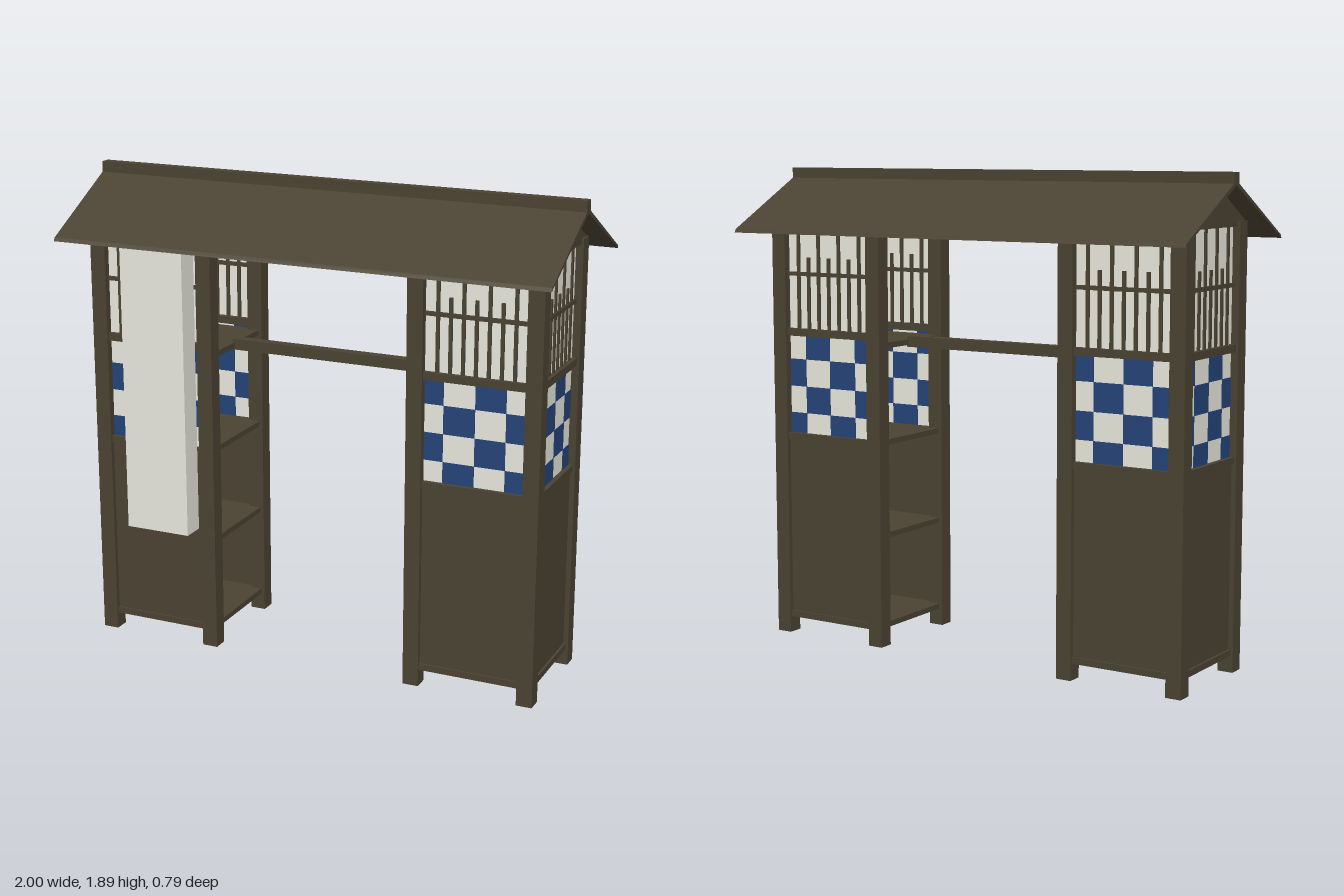
import * as THREE from 'three';

const wood = new THREE.MeshStandardMaterial({ color: 0x4a4232 });
wood.name = 'darkWood';
const paper = new THREE.MeshStandardMaterial({ color: 0xe8e8de });
paper.name = 'whitePaper';
const blue = new THREE.MeshStandardMaterial({ color: 0x244377 });
blue.name = 'checkBlue';

// Box given by its extents on each axis
function block(parent, name, material, [x0, x1], [y0, y1], [z0, z1]) {
  const mesh = new THREE.Mesh(new THREE.BoxGeometry(x1 - x0, y1 - y0, z1 - z0), material);
  mesh.position.set((x0 + x1) / 2, (y0 + y1) / 2, (z0 + z1) / 2);
  mesh.name = name;
  parent.add(mesh);
  return mesh;
}

// One wall between two posts, facing +z; flip mirrors the checks
function createWall(name, width, flip) {
  const wall = new THREE.Group();
  wall.name = name;
  const h = width / 2;
  const span = [-h, h];

  // Boarded lower part and paper upper part
  block(wall, 'lowerPanel', wood, span, [0.08, 0.82], [-0.012, 0.012]);
  block(wall, 'paperSheet', paper, span, [0.82, 1.7], [-0.002, 0.002]);

  // Horizontal rails
  for (const [y0, y1] of [[0.065, 0.09], [0.805, 0.83], [1.225, 1.255], [1.69, 1.72]]) {
    block(wall, 'rail', wood, span, [y0, y1], [-0.022, 0.022]);
  }
  block(wall, 'latticeCrossbar', wood, span, [1.466, 1.482], [-0.011, 0.011]);

  // Alternating long and short lattice bars
  for (let i = 0; i < 7; i++) {
    const x = (i - 3) * width / 8;
    const top = i % 2 ? 1.54 : 1.69;
    block(wall, 'latticeBar', wood, [x - 0.007, x + 0.007], [1.25, top], [-0.009, 0.009]);
  }

  // Checkered band
  const columns = [0, 0.19, 0.5, 0.8, 1];
  const rows = [1.225, 1.13, 1.02, 0.912, 0.83];
  for (let r = 0; r < 4; r++) {
    for (let c = 0; c < 4; c++) {
      if ((r + c) % 2) continue;
      const a = (columns[c] - 0.5) * width;
      const b = (columns[c + 1] - 0.5) * width;
      block(wall, 'blueCheck', blue, flip ? [-b, -a] : [a, b], [rows[r + 1], rows[r]], [-0.004, 0.004]);
    }
  }
  return wall;
}

// Tower on the +x side, open toward the middle
function createTower(name) {
  const tower = new THREE.Group();
  tower.name = name;
  const cx = 0.6675;

  for (const x of [0.405, 0.867]) {
    for (const z of [-0.245, 0.183]) {
      block(tower, 'post', wood, [x, x + 0.063], [0, 1.71], [z, z + 0.062]);
    }
  }

  const front = createWall('frontWall', 0.4, false);
  front.position.set(cx, 0, 0.214);
  const back = createWall('backWall', 0.4, true);
  back.position.set(cx, 0, -0.214);
  back.rotation.y = Math.PI;
  const side = createWall('outerWall', 0.367, false);
  side.position.set(0.8985, 0, 0);
  side.rotation.y = Math.PI / 2;
  tower.add(front, back, side);

  // Shelves and the top rail of the open side
  for (const y of [0.09, 0.455, 0.83, 1.215]) {
    block(tower, 'shelf', wood, [0.42, 0.89], [y - 0.022, y], [-0.205, 0.205]);
  }
  block(tower, 'innerTopRail', wood, [0.415, 0.459], [1.69, 1.72], [-0.185, 0.185]);

  // Gable board under the roof
  const shape = new THREE.Shape();
  shape.moveTo(-0.245, 1.71);
  shape.lineTo(0.245, 1.71);
  shape.lineTo(0, 1.848);
  shape.closePath();
  const geometry = new THREE.ExtrudeGeometry(shape, { depth: 0.044, bevelEnabled: false });
  geometry.rotateY(Math.PI / 2);
  const gable = new THREE.Mesh(geometry, wood);
  gable.name = 'gable';
  gable.position.x = 0.877;
  tower.add(gable);
  return tower;
}

// Two sloping slabs with a ridge cap
function createRoof() {
  const roof = new THREE.Group();
  roof.name = 'roof';
  const shape = new THREE.Shape();
  shape.moveTo(0, 1.862);
  shape.lineTo(-0.385, 1.655);
  shape.lineTo(-0.393, 1.641);
  shape.lineTo(0, 1.844);
  shape.lineTo(0.393, 1.641);
  shape.lineTo(0.385, 1.655);
  shape.closePath();
  const geometry = new THREE.ExtrudeGeometry(shape, { depth: 2, bevelEnabled: false });
  geometry.rotateY(Math.PI / 2);
  const slopes = new THREE.Mesh(geometry, wood);
  slopes.name = 'roofSlopes';
  slopes.position.x = -1;
  roof.add(slopes);
  block(roof, 'ridgeCap', wood, [-1, 1], [1.85, 1.892], [-0.021, 0.021]);
  return roof;
}

export function createModel() {
  const model = new THREE.Group();
  model.name = 'gateStall';
  const left = createTower('leftTower');
  const right = createTower('rightTower');
  right.rotation.y = Math.PI;
  model.add(left, right, createRoof());
  block(model, 'crossBeam', wood, [-0.43, 0.43], [1.185, 1.228], [-0.021, 0.021]);
  block(model, 'hangingSign', paper, [-0.742, -0.474], [0.5, 1.632], [0.248, 0.34]);
  return model;
}
